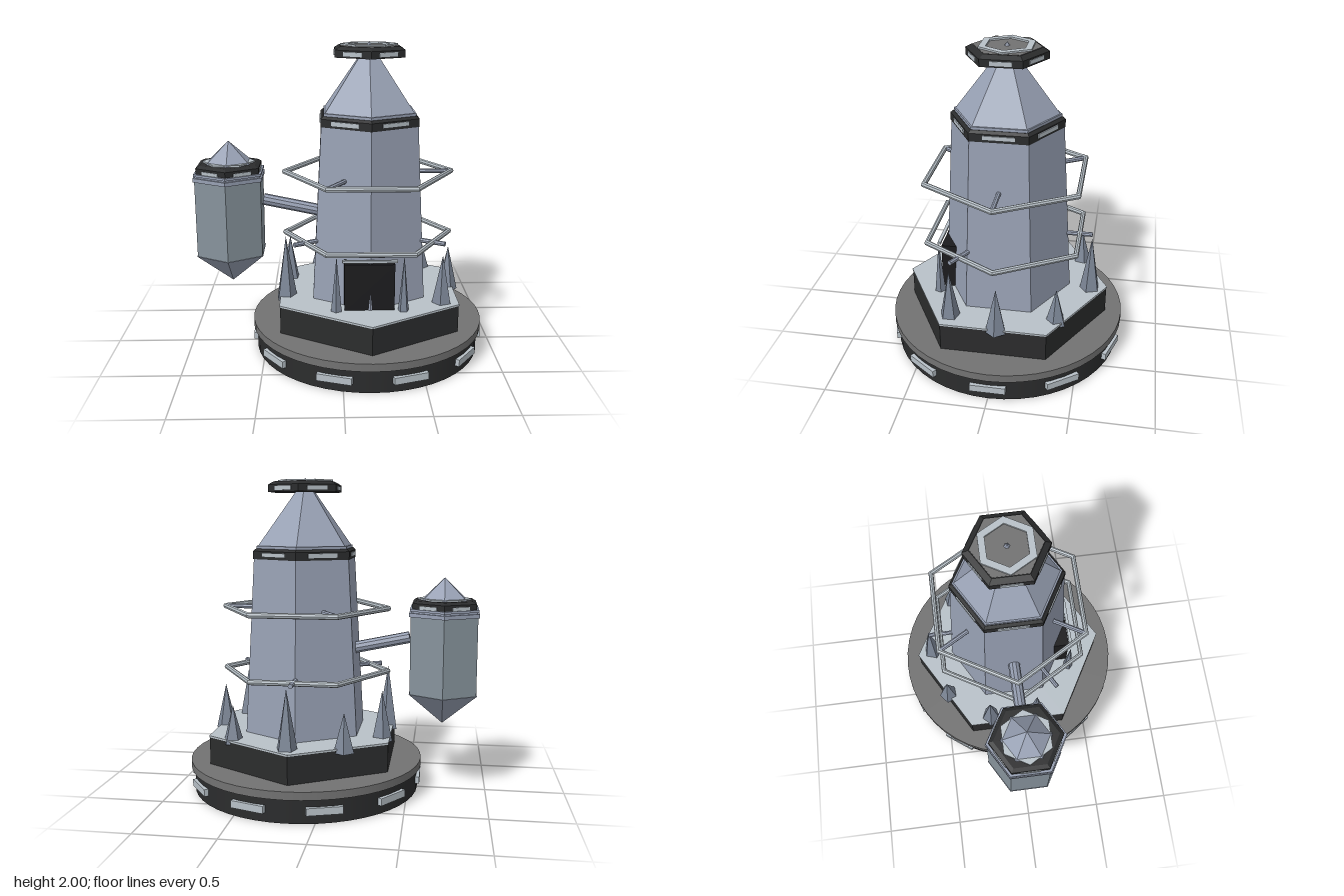
import * as THREE from 'three';

const TX = 0.175;   // tower axis
const PX = -0.715;  // pod axis

const mat = (color) => new THREE.MeshStandardMaterial({ color, flatShading: true });
const hull = mat(0x98a1b4), podGrey = mat(0x87939c), dark = mat(0x2b2c2d);
const pale = mat(0xb8c1c8), stone = mat(0x727272), black = mat(0x1c1c1e), crystalMat = mat(0x7d8797);

function add(parent, name, geometry, material, x = 0, y = 0, z = 0) {
  const mesh = new THREE.Mesh(geometry, material);
  mesh.name = name;
  mesh.position.set(x, y, z);
  parent.add(mesh);
  return mesh;
}

// Upright prism or frustum between two heights, a corner facing +z
function prism(parent, name, material, x, y0, y1, r0, r1 = r0, sides = 6) {
  return add(parent, name, new THREE.CylinderGeometry(r1, r0, y1 - y0, sides), material, x, (y0 + y1) / 2, 0);
}

// Light panels spaced evenly around an axis
function lights(parent, name, x, y, radius, count, offset, w, h, d) {
  const group = new THREE.Group();
  group.name = name;
  group.position.set(x, y, 0);
  for (let i = 0; i < count; i++) {
    const a = offset + (i * Math.PI * 2) / count;
    const panel = add(group, 'lightPanel', new THREE.BoxGeometry(w, h, d), pale,
      Math.sin(a) * radius, 0, Math.cos(a) * radius);
    panel.rotation.y = a;
  }
  parent.add(group);
}

// Flat hexagonal ring with corners on the x axis
function hexRing(parent, name, x, y, outer, inner, thickness) {
  const corners = (r) => Array.from({ length: 6 }, (_, i) =>
    new THREE.Vector2(r * Math.cos(i * Math.PI / 3), r * Math.sin(i * Math.PI / 3)));
  const shape = new THREE.Shape(corners(outer));
  shape.holes.push(new THREE.Path(corners(inner).reverse()));
  const geometry = new THREE.ExtrudeGeometry(shape, { depth: thickness, bevelEnabled: false });
  geometry.rotateX(-Math.PI / 2);
  add(parent, name, geometry, pale, x, y, 0);
}

// Rod between two points
function rod(parent, name, material, from, to, radius, sides = 8) {
  const dir = to.clone().sub(from);
  const mesh = add(parent, name, new THREE.CylinderGeometry(radius, radius, dir.length(), sides), material);
  mesh.position.copy(from).addScaledVector(dir, 0.5);
  mesh.quaternion.setFromUnitVectors(new THREE.Vector3(0, 1, 0), dir.normalize());
}

function buildBase(root) {
  const base = new THREE.Group();
  base.name = 'base';
  root.add(base);
  const smoothDark = new THREE.MeshStandardMaterial({ color: 0x2b2c2d });
  const smoothStone = new THREE.MeshStandardMaterial({ color: 0x727272 });
  prism(base, 'baseDrum', smoothDark, TX, 0, 0.15, 0.735, 0.735, 48);
  prism(base, 'baseDisc', smoothStone, TX, 0.15, 0.2, 0.757, 0.757, 48);
  lights(base, 'baseLights', TX, 0.08, 0.738, 10, Math.PI / 10, 0.22, 0.045, 0.03);
  prism(base, 'plinth', dark, TX, 0.2, 0.375, 0.652);
  prism(base, 'plinthTop', pale, TX, 0.375, 0.386, 0.656);
}

function buildTower(root) {
  const tower = new THREE.Group();
  tower.name = 'tower';
  root.add(tower);
  prism(tower, 'towerBody', hull, TX, 0.38, 1.5, 0.412, 0.345);

  // Collar and roof
  prism(tower, 'collar', dark, TX, 1.495, 1.545, 0.35);
  prism(tower, 'collarBevel', dark, TX, 1.545, 1.56, 0.35, 0.33);
  prism(tower, 'collarTrim', hull, TX, 1.555, 1.577, 0.328);
  lights(tower, 'collarLights', TX, 1.523, 0.302, 6, Math.PI / 6, 0.19, 0.026, 0.016);
  add(tower, 'roof', new THREE.ConeGeometry(0.318, 0.425, 6), hull, TX, 1.7875, 0);

  // Cap
  prism(tower, 'cap', dark, TX, 1.91, 1.955, 0.247);
  prism(tower, 'capBevel', dark, TX, 1.955, 1.975, 0.247, 0.21);
  prism(tower, 'capTop', stone, TX, 1.97, 1.977, 0.205);
  lights(tower, 'capLights', TX, 1.933, 0.213, 6, Math.PI / 6, 0.13, 0.025, 0.012);
  hexRing(tower, 'capRing', TX, 1.975, 0.178, 0.133, 0.012);

  // Door
  add(tower, 'door', new THREE.BoxGeometry(0.31, 0.305, 0.2), black, 0.17, 0.5325, 0.305);
  add(tower, 'doorLintel', new THREE.BoxGeometry(0.34, 0.015, 0.02), pale, 0.17, 0.71, 0.415);

  // Hoops with three struts each
  for (const [y, offset, reach] of [[1.177, 0, 0.53], [0.77, Math.PI / 6, 0.545]]) {
    const hoop = add(tower, 'hoop', new THREE.TorusGeometry(0.535, 0.018, 8, 6), pale, TX, y, 0);
    hoop.rotation.x = Math.PI / 2;
    for (let i = 0; i < 3; i++) {
      const a = offset + (i * Math.PI * 2) / 3;
      const at = (r) => new THREE.Vector3(TX + r * Math.cos(a), y, r * Math.sin(a));
      rod(tower, 'hoopStrut', hull, at(0.28), at(reach), 0.015);
    }
  }
}

function buildPod(root) {
  const pod = new THREE.Group();
  pod.name = 'sidePod';
  root.add(pod);
  prism(pod, 'podBody', podGrey, PX, 0.645, 1.15, 0.24);
  const tip = add(pod, 'podTip', new THREE.ConeGeometry(0.245, 0.208, 6), hull, PX, 0.542, 0);
  tip.rotation.z = Math.PI;
  prism(pod, 'podLowerTrim', hull, PX, 1.14, 1.165, 0.25);
  prism(pod, 'podNeck', hull, PX, 1.16, 1.18, 0.235);
  prism(pod, 'podUpperTrim', hull, PX, 1.175, 1.19, 0.245);
  prism(pod, 'podCollar', dark, PX, 1.19, 1.225, 0.228);
  prism(pod, 'podCollarBevel', dark, PX, 1.225, 1.24, 0.228, 0.2);
  lights(pod, 'podLights', PX, 1.2, 0.197, 6, Math.PI / 6, 0.12, 0.022, 0.012);
  hexRing(pod, 'podRing', PX, 1.238, 0.167, 0.12, 0.012);
  add(pod, 'podSpire', new THREE.ConeGeometry(0.162, 0.145, 6), hull, PX, 1.3075, 0);
  rod(pod, 'podArm', hull, new THREE.Vector3(-0.5, 0.995, 0), new THREE.Vector3(-0.1, 0.91, 0), 0.038, 10);
}

function buildCrystals(root) {
  const group = new THREE.Group();
  group.name = 'crystals';
  root.add(group);
  // x, z, tip height, radius
  const spikes = [
    [0.2, -0.545, 0.755, 0.07], [-0.135, -0.465, 0.6, 0.066], [0.575, -0.365, 0.6, 0.066],
    [-0.34, -0.185, 0.68, 0.068], [0.715, -0.018, 0.655, 0.068], [0.635, 0.285, 0.7, 0.068],
    [-0.355, 0.13, 0.78, 0.07], [-0.035, 0.408, 0.74, 0.038], [0.38, 0.408, 0.74, 0.038],
  ];
  spikes.forEach(([x, z, tip, r], i) => {
    const foot = 0.358;
    const spike = add(group, 'crystal', new THREE.ConeGeometry(r, tip - foot, 5), crystalMat, x, (tip + foot) / 2, z);
    spike.rotation.y = i * 0.7;
  });
}

export function createModel() {
  const root = new THREE.Group();
  root.name = 'towerModel';
  buildBase(root);
  buildTower(root);
  buildPod(root);
  buildCrystals(root);
  return root;
}
